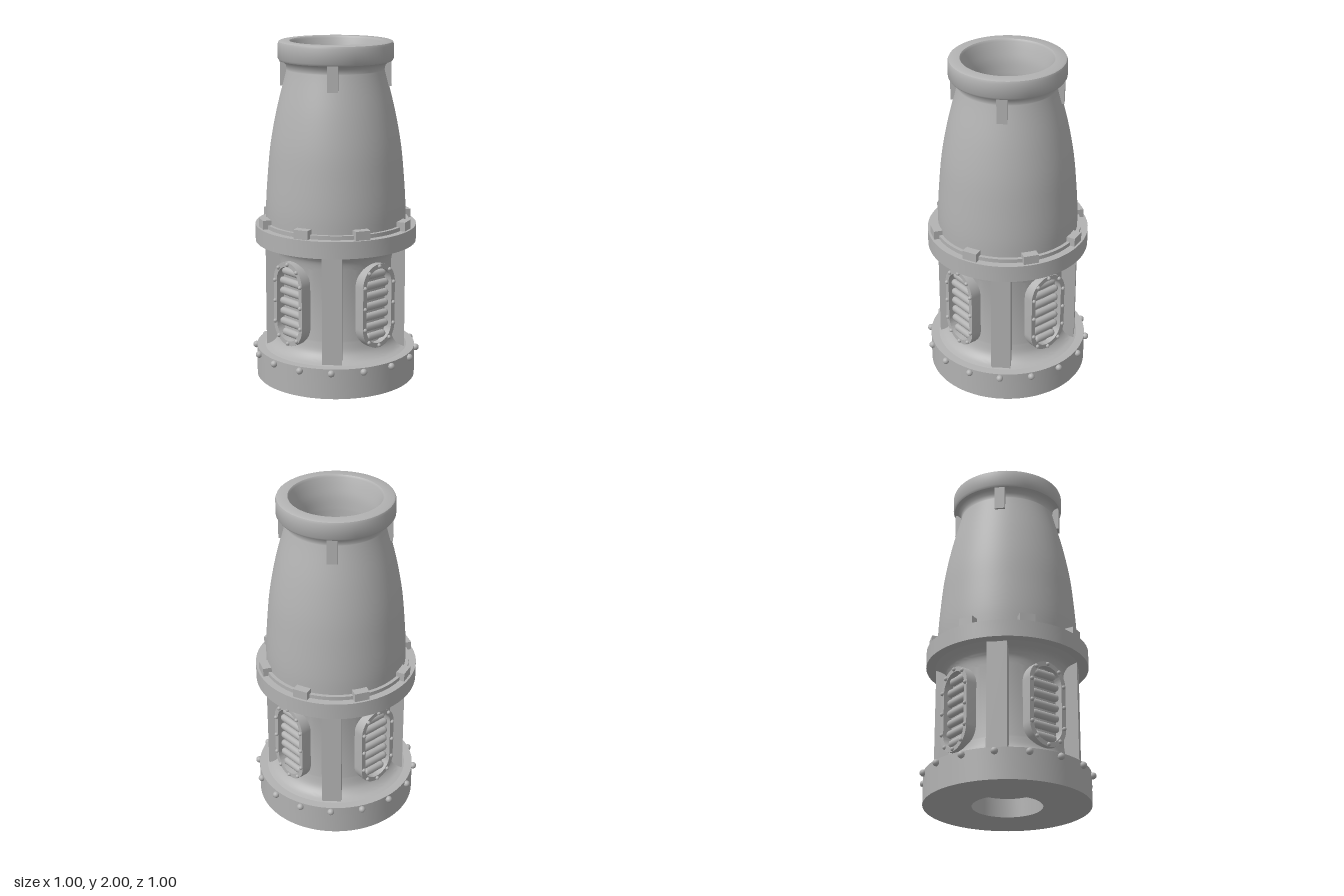
import * as THREE from 'three';
import { toCreasedNormals } from 'three/addons/utils/BufferGeometryUtils.js';

export function createModel() {
  const model = new THREE.Group();
  model.name = 'rocketNozzle';
  const metal = new THREE.MeshStandardMaterial({ color: 0xb2b2b2 });
  metal.name = 'grey metal';

  const add = (parent, name, geometry, x = 0, y = 0, z = 0) => {
    const mesh = new THREE.Mesh(geometry, metal);
    mesh.name = name;
    mesh.position.set(x, y, z);
    parent.add(mesh);
    return mesh;
  };
  // Turned part from a closed [radius, height] outline, counter-clockwise
  const turned = (name, outline) => {
    const points = [...outline, outline[0]].map(([r, y]) => new THREE.Vector2(r, y));
    return add(model, name, toCreasedNormals(new THREE.LatheGeometry(points, 96), 0.6));
  };
  // Smooth run of [radius, height] points
  const smooth = (points, n) =>
    new THREE.SplineCurve(points.map(([r, y]) => new THREE.Vector2(r, y)))
      .getPoints(n).map((p) => [p.x, p.y]);
  // Groups spaced evenly around the axis, each built facing +z
  const around = (name, count, offset, build) => {
    for (let i = 0; i < count; i++) {
      const group = new THREE.Group();
      group.name = name;
      group.rotation.y = offset + (i * 2 * Math.PI) / count;
      build(group);
      model.add(group);
    }
  };

  // Base with a socket underneath and a small feed hole
  turned('base', [
    [0.2, 0], [0.474, 0], [0.474, 0.18], [0.027, 0.18], [0.027, 0.11], [0.2, 0.11],
  ]);

  // Waisted body, flaring into the base and the collar
  turned('waist', [
    ...smooth([[0.425, 0.18], [0.385, 0.195], [0.35, 0.235], [0.335, 0.3]], 14),
    ...smooth([[0.335, 0.72], [0.345, 0.77], [0.37, 0.805], [0.42, 0.83]], 14),
    [0.214, 0.83], [0.214, 0.18],
  ]);

  // Collar with a stepped seat
  turned('collar', [
    [0.214, 0.83], [0.474, 0.83], [0.474, 0.93], [0.432, 0.93],
    [0.432, 0.953], [0.214, 0.953],
  ]);

  // Bell with rolled lip, funnel mouth and bore
  turned('bell', [
    ...smooth([[0.411, 0.94], [0.41, 1.05], [0.4, 1.2], [0.38, 1.4], [0.343, 1.6],
      [0.295, 1.79], [0.283, 1.84]], 28),
    [0.288, 1.865], [0.305, 1.882], [0.325, 1.888], [0.333, 1.9],
    [0.333, 1.982], [0.328, 1.995], [0.318, 2], [0.266, 2],
    ...smooth([[0.262, 1.995], [0.245, 1.95], [0.224, 1.88], [0.214, 1.8]], 12),
    [0.214, 0.94],
  ]);

  // Rivets around the base
  const rivet = new THREE.SphereGeometry(0.02, 14, 10);
  around('baseRivet', 16, 0, (g) => add(g, 'rivet', rivet, 0, 0.157, 0.482));

  // Blocks on the collar
  const block = new THREE.BoxGeometry(0.088, 0.06, 0.07);
  around('collarBlock', 8, Math.PI / 8, (g) => add(g, 'block', block, 0, 0.952, 0.425));

  // Ribs up the waist and gussets below the lip
  const rib = new THREE.BoxGeometry(0.115, 0.65, 0.125);
  const gusset = new THREE.BoxGeometry(0.06, 0.16, 0.07);
  around('cornerSupports', 4, Math.PI / 4, (g) => {
    add(g, 'waistRib', rib, 0, 0.505, 0.35);
    add(g, 'lipGusset', gusset, 0, 1.822, 0.285);
  });

  // Vent panels: rounded frame, louvres and rivets
  const capsule = (path, r, half) => {
    path.absarc(0, half, r, 0, Math.PI, false);
    path.absarc(0, -half, r, Math.PI, 2 * Math.PI, false);
    path.closePath();
    return path;
  };
  const frameShape = capsule(new THREE.Shape(), 0.126, 0.126);
  frameShape.holes.push(capsule(new THREE.Path(), 0.098, 0.126));
  const frame = toCreasedNormals(new THREE.ExtrudeGeometry(frameShape,
    { depth: 0.075, bevelEnabled: false, curveSegments: 20 }), 0.6);
  const stud = new THREE.SphereGeometry(0.012, 10, 8);
  const studs = [[0, 0.239], [0.08, 0.207], [0.112, 0.125], [0.112, 0],
    [0.112, -0.125], [0.08, -0.207], [0, -0.239]];

  around('ventPanel', 4, 0, (g) => {
    g.position.y = 0.497;
    add(g, 'ventFrame', frame, 0, 0, 0.3);
    for (let i = -3; i <= 3; i++) {
      const y = i * 0.062;
      const half = Math.sqrt(0.098 ** 2 - Math.max(0, Math.abs(y) - 0.126) ** 2);
      const louvre = add(g, 'louvre',
        new THREE.CapsuleGeometry(0.023, 2 * (half - 0.023), 6, 14), 0, y, 0.342);
      louvre.rotation.z = Math.PI / 2;
      louvre.scale.z = 0.9;
    }
    for (const [x, y] of studs) {
      for (const side of x ? [1, -1] : [1]) add(g, 'ventRivet', stud, side * x, y, 0.377);
    }
  });

  return model;
}
